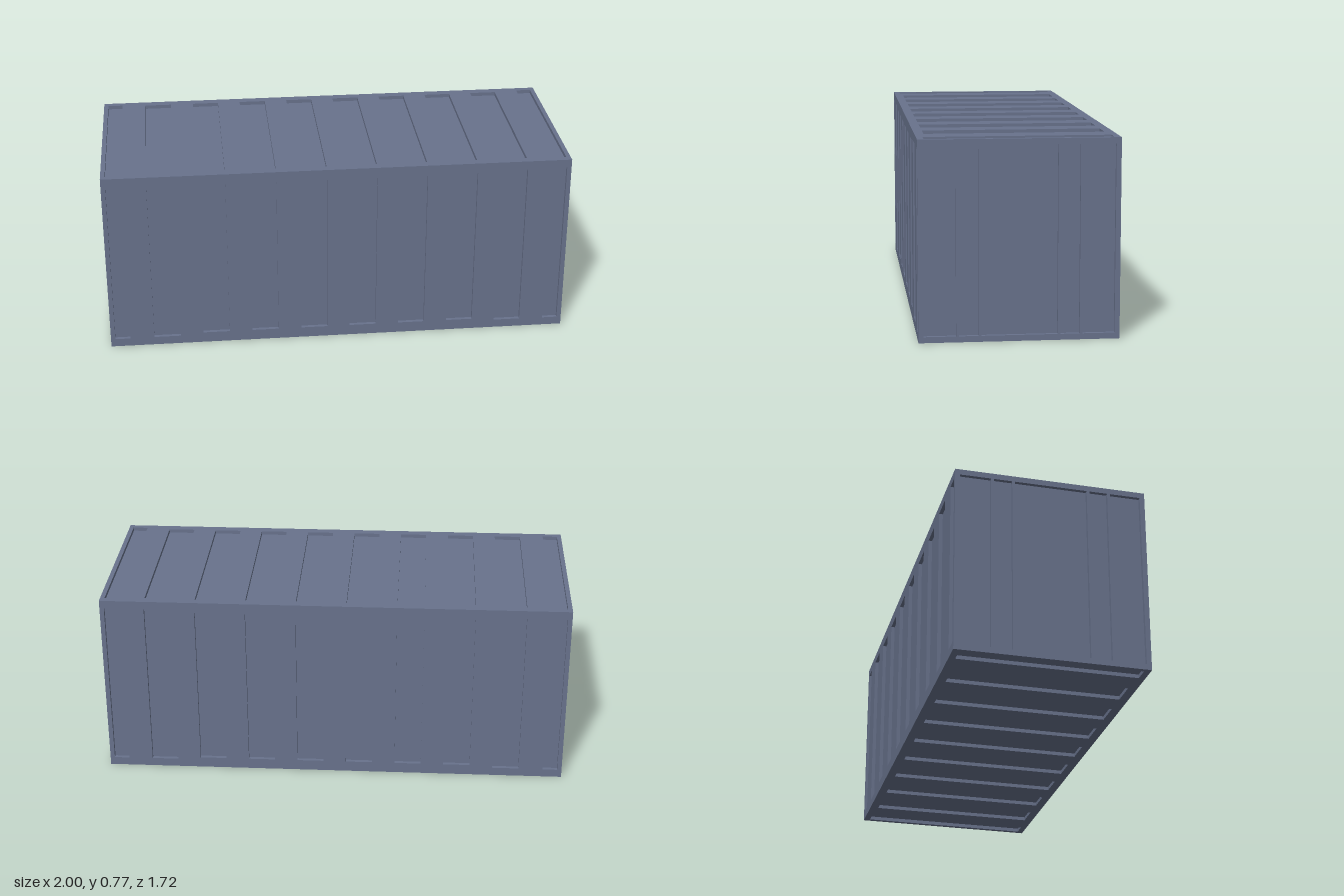
import * as THREE from 'three';

const L = 1.9, H = 0.77, W = 0.765; // overall box
const T = 0.015;                    // recess depth

// Rectangular sheet with rectangular holes [centreX, centreY, halfWidth, halfHeight]
function ribbedSheet(w, h, holes) {
  const shape = new THREE.Shape([
    new THREE.Vector2(-w / 2, -h / 2), new THREE.Vector2(w / 2, -h / 2),
    new THREE.Vector2(w / 2, h / 2), new THREE.Vector2(-w / 2, h / 2),
  ]);
  for (const [cx, cy, a, b] of holes) {
    shape.holes.push(new THREE.Path([
      new THREE.Vector2(cx - a, cy - b), new THREE.Vector2(cx - a, cy + b),
      new THREE.Vector2(cx + a, cy + b), new THREE.Vector2(cx + a, cy - b),
    ]));
  }
  return new THREE.ExtrudeGeometry(shape, { depth: T, bevelEnabled: false });
}

// Ten recesses along the length: eight full width and a narrow one at each end
function lengthRecesses(halfMiddle, halfOuter, halfEnd) {
  const holes = [];
  for (const s of [-1, 1]) {
    for (let i = 0; i < 4; i++) {
      holes.push([s * (0.102 + i * 0.2045), 0, 0.055, i === 3 ? halfOuter : halfMiddle]);
    }
    holes.push([s * 0.901, 0, 0.031, halfEnd]);
  }
  return holes;
}

export function createModel() {
  const paint = new THREE.MeshStandardMaterial({ color: 0x68728c });
  paint.name = 'slate blue paint';

  const model = new THREE.Group();
  model.name = 'cargoContainer';
  const body = new THREE.Group();
  body.name = 'containerBody';
  body.position.y = H / 2;
  body.rotation.y = -0.61; // stands turned on the ground
  model.add(body);

  const add = (name, geometry) => {
    const mesh = new THREE.Mesh(geometry, paint);
    mesh.name = name;
    body.add(mesh);
    return mesh;
  };

  // Inner box forms the floor of every recess
  add('core', new THREE.BoxGeometry(L - 2 * T, H - 2 * T, W - 2 * T));

  // Roof and underside
  const roof = ribbedSheet(L, W, lengthRecesses(0.347, 0.347, 0.357));
  roof.translate(0, 0, H / 2 - T);
  add('roof', roof).rotation.x = -Math.PI / 2;
  add('underside', roof).rotation.x = Math.PI / 2;

  // Long walls
  const wall = ribbedSheet(L, H - 2 * T, lengthRecesses(0.34, 0.35, 0.351));
  wall.translate(0, 0, W / 2 - T);
  add('frontWall', wall);
  add('backWall', wall).rotation.y = Math.PI;

  // End walls: wide centre panel, then a narrow and a medium one on each side
  const endHoles = [[0, 0, 0.145, 0.362]];
  for (const s of [-1, 1]) {
    endHoles.push([s * 0.1925, 0, 0.0365, 0.362], [s * 0.3015, 0, 0.0615, 0.362]);
  }
  const end = ribbedSheet(W - 2 * T, H - 2 * T, endHoles);
  end.translate(0, 0, L / 2 - T);
  add('leftEnd', end).rotation.y = Math.PI / 2;
  add('rightEnd', end).rotation.y = -Math.PI / 2;

  return model;
}
